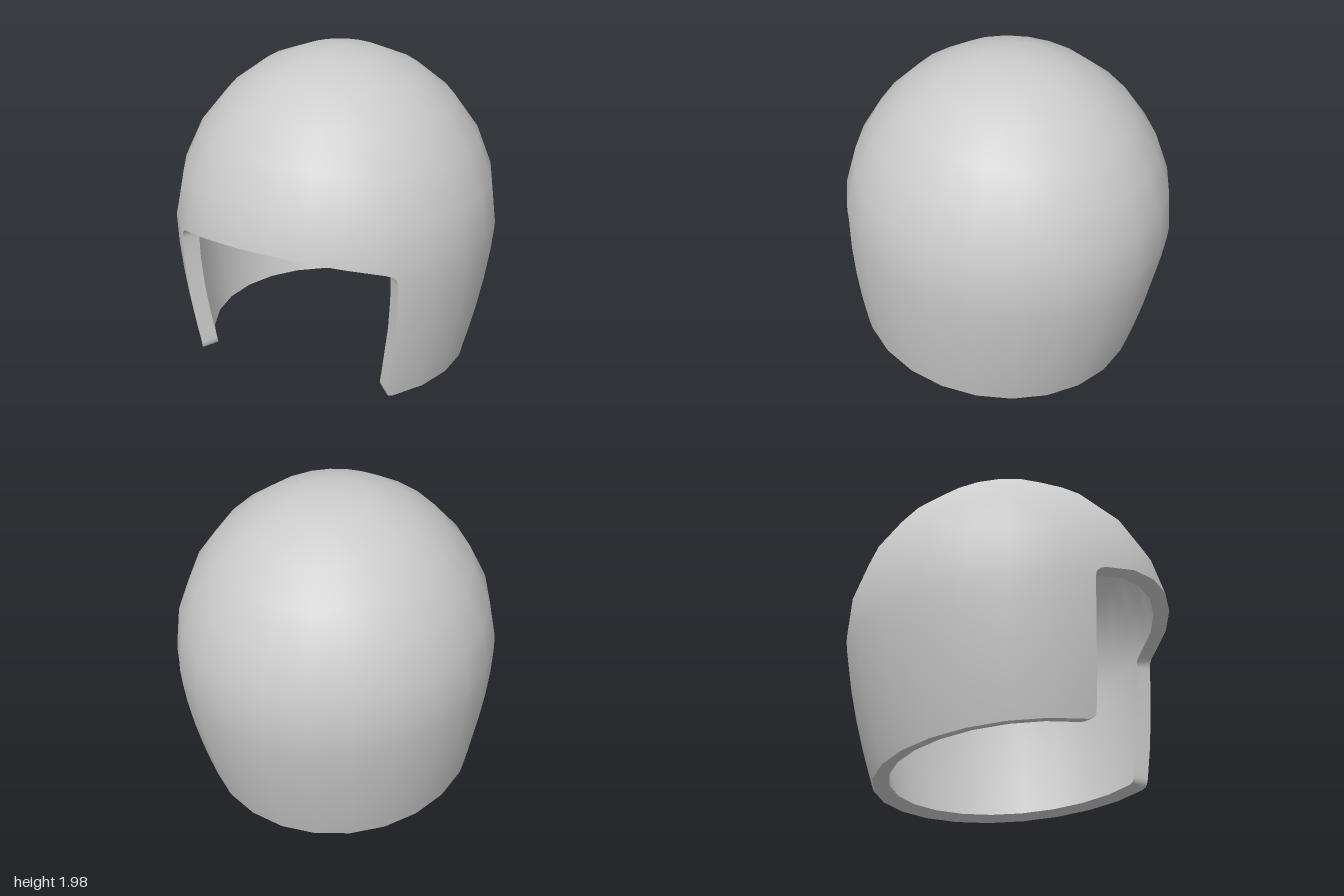
import * as THREE from 'three';

const WIDTH = 0.977, HEIGHT = 1.05, DEPTH = 1.01; // half sizes of the shell
const BOTTOM = 0.857;                             // depth of the lower edge under the widest line
const TAPER = 0.124, CURVE = 1.6;                 // how the skirt narrows downwards
const THICKNESS = 0.1;
const FRONT = 6, AROUND = 18, DOME_ROWS = 6;      // columns over the brow, columns round the back, rows
const BROW = 0.035, BROW_Z = 0.785;               // where the brow meets the side edges

// Front edge of the cheek panels, as [height, z], from brow corner to lower corner
const CHEEK = [
  [BROW, BROW_Z], [0.02, 0.758], [-0.005, 0.739], [-0.045, 0.731], [-0.2, 0.715], [-0.4, 0.69],
  [-0.6, 0.664], [-0.74, 0.64], [-0.805, 0.629], [-0.835, 0.621], [-0.851, 0.607], [-BOTTOM, 0.585],
];

// Radius of the shell at height u, as a share of its half sizes: round above, tapered below
const profile = (u) => (u >= 0
  ? Math.sqrt(Math.max(0, 1 - (u / HEIGHT) ** 2))
  : 1 - TAPER * Math.pow(-u / BOTTOM, CURVE));

// The plan is slightly squared around the widest line
const radius = (u, angle) =>
  profile(u) * (1 + 0.008 * Math.max(0, 1 - (u / BOTTOM) ** 2) * Math.sin(2 * angle) ** 2);

// Point on the outer surface with its outward normal
function shellPoint(angle, u) {
  const r = radius(u, angle);
  const position = new THREE.Vector3(WIDTH * r * Math.sin(angle), u, DEPTH * r * Math.cos(angle));
  const lean = u >= 0
    ? u / HEIGHT ** 2
    : -profile(u) * TAPER * CURVE / BOTTOM * Math.pow(-u / BOTTOM, CURVE - 1);
  const normal = new THREE.Vector3(position.x / WIDTH ** 2, lean, position.z / DEPTH ** 2).normalize();
  return { position, normal };
}

// Angle from the front at which the shell reaches a given z
function edgeAngle([u, z]) {
  let angle = 0.7;
  for (let k = 0; k < 8; k++) angle = Math.acos(z / (DEPTH * radius(u, angle)));
  return angle;
}

// Height of the brow line, rising from the side edges to the front
function browHeight(angle) {
  let u = BROW;
  for (let k = 0; k < 6; k++) {
    u = BROW + 0.375 * Math.max(0, DEPTH * radius(u, angle) * Math.cos(angle) - BROW_Z);
  }
  return u;
}

// Angles from one cheek edge round the back to the other
const sweep = (edge) => Array.from({ length: AROUND + 1 },
  (_, j) => edge + (2 * Math.PI - 2 * edge) * j / AROUND);

// Dome rows run from the crown to the brow line
function makeDome() {
  const edge = edgeAngle(CHEEK[0]);
  const angles = [];
  for (let j = 0; j < FRONT; j++) angles.push(-edge + 2 * edge * j / FRONT);
  angles.push(...sweep(edge));
  return Array.from({ length: DOME_ROWS + 1 }, (_, i) => angles.map((angle) => {
    const low = Math.asin(browHeight(angle) / HEIGHT);
    const lat = THREE.MathUtils.lerp(Math.PI / 2, low, i / DOME_ROWS);
    return shellPoint(angle, HEIGHT * Math.sin(lat));
  }));
}

// Skin moved inwards by the wall thickness, facing the inside
const inward = (row) => row.map(({ position, normal }) => ({
  position: position.clone().addScaledVector(normal, -THICKNESS),
  normal: normal.clone().negate(),
}));

// Surface from rows of points, rows running down and columns to the right
function surface(grids, flip) {
  const position = [];
  const normal = [];
  const index = [];
  for (const grid of grids) {
    const start = position.length / 3;
    const n = grid[0].length;
    for (const p of grid.flat()) {
      position.push(...p.position);
      normal.push(...p.normal);
    }
    for (let i = 0; i < grid.length - 1; i++) {
      for (let j = 0; j < n - 1; j++) {
        const a = start + i * n + j, b = a + n, c = b + 1, d = a + 1;
        if (flip) index.push(a, c, b, a, d, c);
        else index.push(a, b, c, a, c, d);
      }
    }
  }
  const geometry = new THREE.BufferGeometry();
  geometry.setAttribute('position', new THREE.Float32BufferAttribute(position, 3));
  geometry.setAttribute('normal', new THREE.Float32BufferAttribute(normal, 3));
  geometry.setIndex(index);
  return geometry;
}

export function createModel() {
  const group = new THREE.Group();
  group.name = 'openFaceHelmet';
  const material = new THREE.MeshStandardMaterial({ color: 0xcccccc });

  // The whole shell leans back a little
  const shell = new THREE.Group();
  shell.name = 'shell';
  shell.rotation.x = -0.086;
  shell.position.set(0, 0.931, 0.003);
  group.add(shell);
  const add = (name, geometry) => {
    const mesh = new THREE.Mesh(geometry, material);
    mesh.name = name;
    shell.add(mesh);
  };

  // Skirt rows run down from the brow, open between the cheek edges
  const dome = makeDome();
  const skirt = CHEEK.map((c) => sweep(edgeAngle(c)).map((angle) => shellPoint(angle, c[0])));
  add('outerShell', surface([dome, skirt], false));
  add('innerShell', surface([dome.map(inward), skirt.map(inward)], true));

  // Rim loop: brow, down one cheek, round the bottom, up the other cheek
  const last = skirt.length - 1;
  const loop = [
    ...dome[DOME_ROWS].slice(0, FRONT + 1),
    ...skirt.slice(1, last).map((row) => row[0]),
    ...skirt[last],
    ...skirt.slice(0, last).reverse().map((row) => row[AROUND]),
  ];
  const rim = surface([[loop, inward(loop)]], false);
  rim.computeVertexNormals();
  add('rim', rim);
  return group;
}
